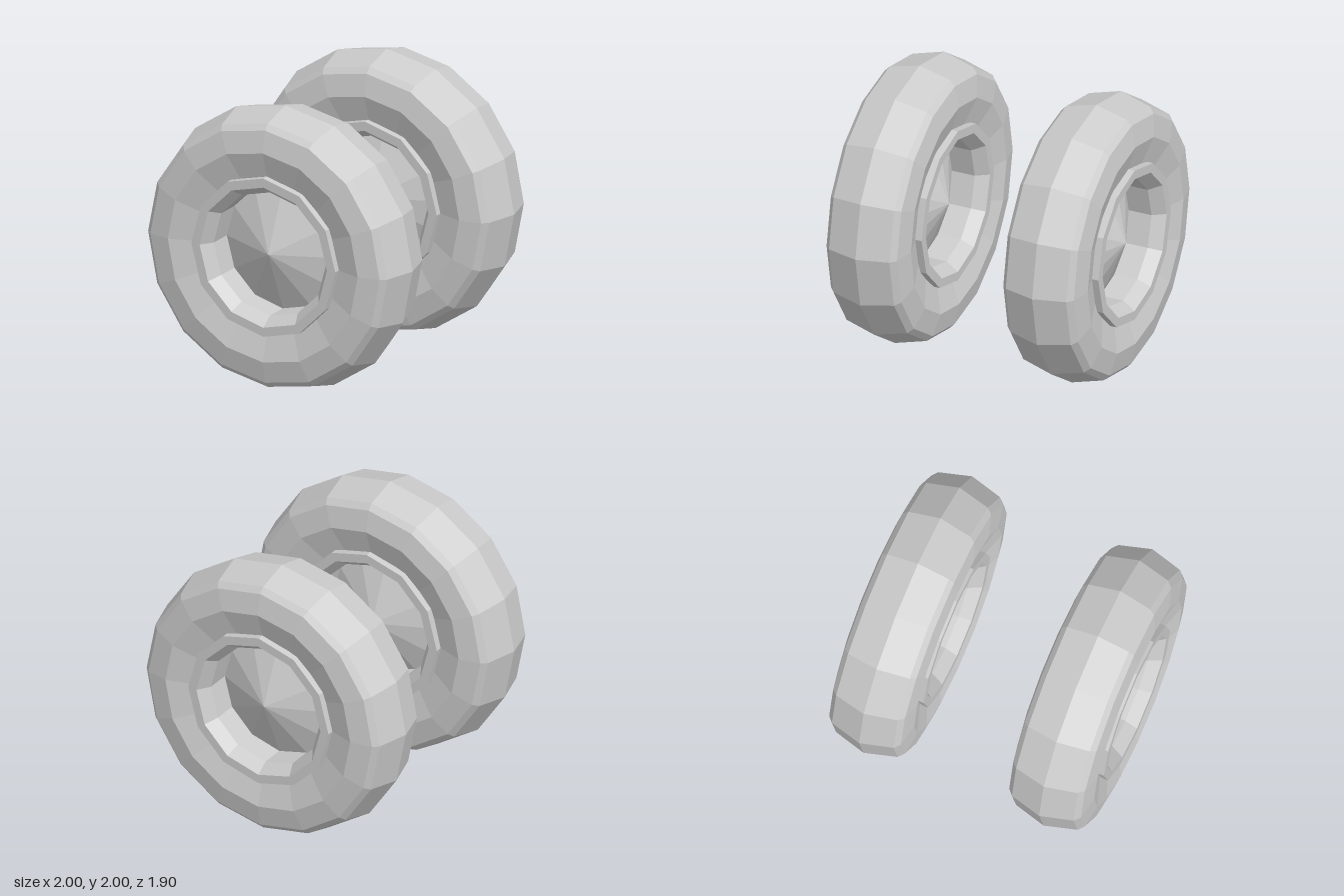
import * as THREE from 'three';

const wheelGrey = new THREE.MeshStandardMaterial({ color: 0xcccccc });
wheelGrey.name = 'wheelGrey';

// Faceted solid turned about the z axis; half is [radius, z] from the middle outwards
// on the front side, and is mirrored to make the back side.
function turned(name, half, sides) {
  const front = half.map(([r, z]) => new THREE.Vector2(r, z));
  const back = half.filter(([, z]) => z > 0).map(([r, z]) => new THREE.Vector2(r, -z)).reverse();
  const geometry = new THREE.LatheGeometry([...back, ...front], sides).toNonIndexed();
  geometry.rotateX(Math.PI / 2);
  geometry.computeVertexNormals();
  const mesh = new THREE.Mesh(geometry, wheelGrey);
  mesh.name = name;
  return mesh;
}

function makeWheel(name, z) {
  const wheel = new THREE.Group();
  wheel.name = name;
  // Tyre: peaked tread, bevelled shoulder, dished sidewall
  wheel.add(turned('tyre', [
    [1, 0], [0.94, 0.225], [0.9, 0.262], [0.745, 0.292], [0.54, 0.23],
  ], 16));
  // Hub: raised flat lip, inner bevel, straight wall and a shallow cone on each side
  wheel.add(turned('hub', [
    [0.565, 0.285], [0.5, 0.285], [0.44, 0.2], [0.44, 0.03], [0, 0.22],
  ], 12));
  wheel.position.set(0, 1, z);
  return wheel;
}

export function createModel() {
  const model = new THREE.Group();
  model.name = 'wheelPair';
  model.add(makeWheel('frontWheel', 0.658), makeWheel('backWheel', -0.658));
  return model;
}
